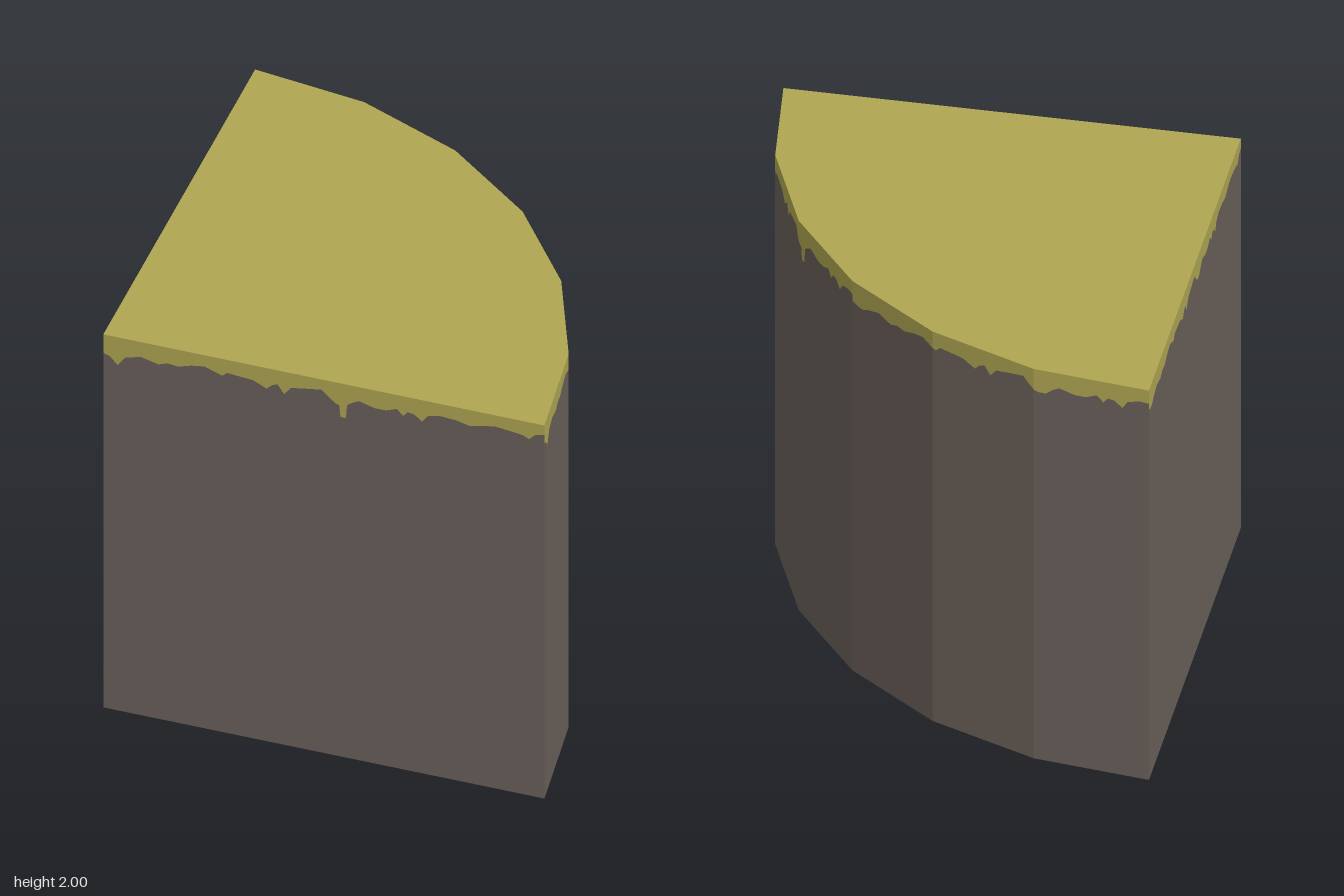
import * as THREE from 'three';

const HEIGHT = 2, SEGMENTS = 6, TILE = 2;

// Ragged lower edge of the grass: [distance along wall, drop below the top]
const EDGE = [
  [0, .1], [.03, .11], [.065, .15], [.1, .1], [.17, .08], [.25, .1], [.29, .085], [.34, .09],
  [.4, .07], [.46, .06], [.51, .08], [.54, .09], [.56, .07], [.68, .08], [.74, .11], [.765, .085],
  [.79, .075], [.82, .12], [.85, .08], [.9, .07], [.99, .055], [1.02, .085], [1.05, .11],
  [1.07, .12], [1.075, .18], [1.1, .18], [1.105, .11], [1.13, .09], [1.16, .075], [1.23, .095],
  [1.28, .095], [1.33, .075], [1.36, .105], [1.38, .08], [1.41, .085], [1.445, .115], [1.47, .08],
  [1.52, .065], [1.6, .07], [1.66, .085], [1.72, .07], [1.78, .06], [1.9, .075], [1.93, .09],
  [1.96, .06], [2, .05],
];

function dropAt(s) {
  const t = s % TILE;
  const i = Math.max(1, EDGE.findIndex((p) => p[0] >= t));
  const [a, b] = [EDGE[i - 1], EDGE[i]];
  return a[1] + (b[1] - a[1]) * (t - a[0]) / (b[0] - a[0]);
}

function makeGeometry(positions) {
  const g = new THREE.BufferGeometry();
  g.setAttribute('position', new THREE.Float32BufferAttribute(positions, 3));
  g.computeVertexNormals();
  return g;
}

export function createModel() {
  const model = new THREE.Group();
  const grass = new THREE.MeshStandardMaterial({ color: 0xb0a652 });
  grass.name = 'grass';
  const earth = new THREE.MeshStandardMaterial({ color: 0x6a605a });
  earth.name = 'earth';

  function add(name, geometry, material) {
    const mesh = new THREE.Mesh(geometry, material);
    mesh.name = name;
    model.add(mesh);
    return mesh;
  }

  // One flat wall from a to b, split along the ragged edge
  function wall(name, a, b, start, drip) {
    const length = a.distanceTo(b);
    const stops = [0, ...EDGE.map((p) => p[0] - start).filter((d) => d > 0.001 && d < length - 0.001), length];
    const at = (d) => {
      const p = a.clone().lerp(b, d / length);
      const drop = dropAt(Math.min(start + d, TILE - 0.0001));
      return { x: p.x, z: p.y, y: HEIGHT - (drip ? drop : Math.min(drop, 0.115)) };
    };
    const low = [], high = [];
    const quad = (out, p, q, p0, q0, p1, q1) => out.push(
      p.x, p0, p.z, q.x, q0, q.z, q.x, q1, q.z,
      p.x, p0, p.z, q.x, q1, q.z, p.x, p1, p.z);
    for (let i = 1; i < stops.length; i++) {
      const p = at(stops[i - 1]), q = at(stops[i]);
      quad(low, p, q, 0, 0, p.y, q.y);
      quad(high, p, q, p.y, q.y, HEIGHT, HEIGHT);
    }
    add(name + 'Earth', makeGeometry(low), earth);
    add(name + 'Grass', makeGeometry(high), grass);
  }

  // Quarter-circle plan, stored as (x, z)
  const corner = new THREE.Vector2(-1, 1);
  const arc = [];
  for (let i = 0; i <= SEGMENTS; i++) {
    const t = (i / SEGMENTS) * Math.PI / 2;
    arc.push(new THREE.Vector2(-1 + 2 * Math.cos(t), 1 - 2 * Math.sin(t)));
  }

  // Straight walls
  wall('frontWall', corner, arc[0], 0, true);
  wall('leftSideWall', arc[SEGMENTS], corner, 0, false);

  // Curved wall, with the edge pattern restarting halfway round
  const chord = arc[0].distanceTo(arc[1]);
  for (let i = 0; i < SEGMENTS; i++) {
    wall('curvedWall' + (i + 1), arc[i], arc[i + 1], (i % 3) * chord, i < 3);
  }

  // Grass top and earth underside
  const plan = [corner, ...arc];
  const top = new THREE.ShapeGeometry(new THREE.Shape(plan.map((p) => new THREE.Vector2(p.x, -p.y))));
  add('grassTop', top.rotateX(-Math.PI / 2), grass).position.y = HEIGHT;
  const base = new THREE.ShapeGeometry(new THREE.Shape(plan));
  add('underside', base.rotateX(Math.PI / 2), earth);

  return model;
}
